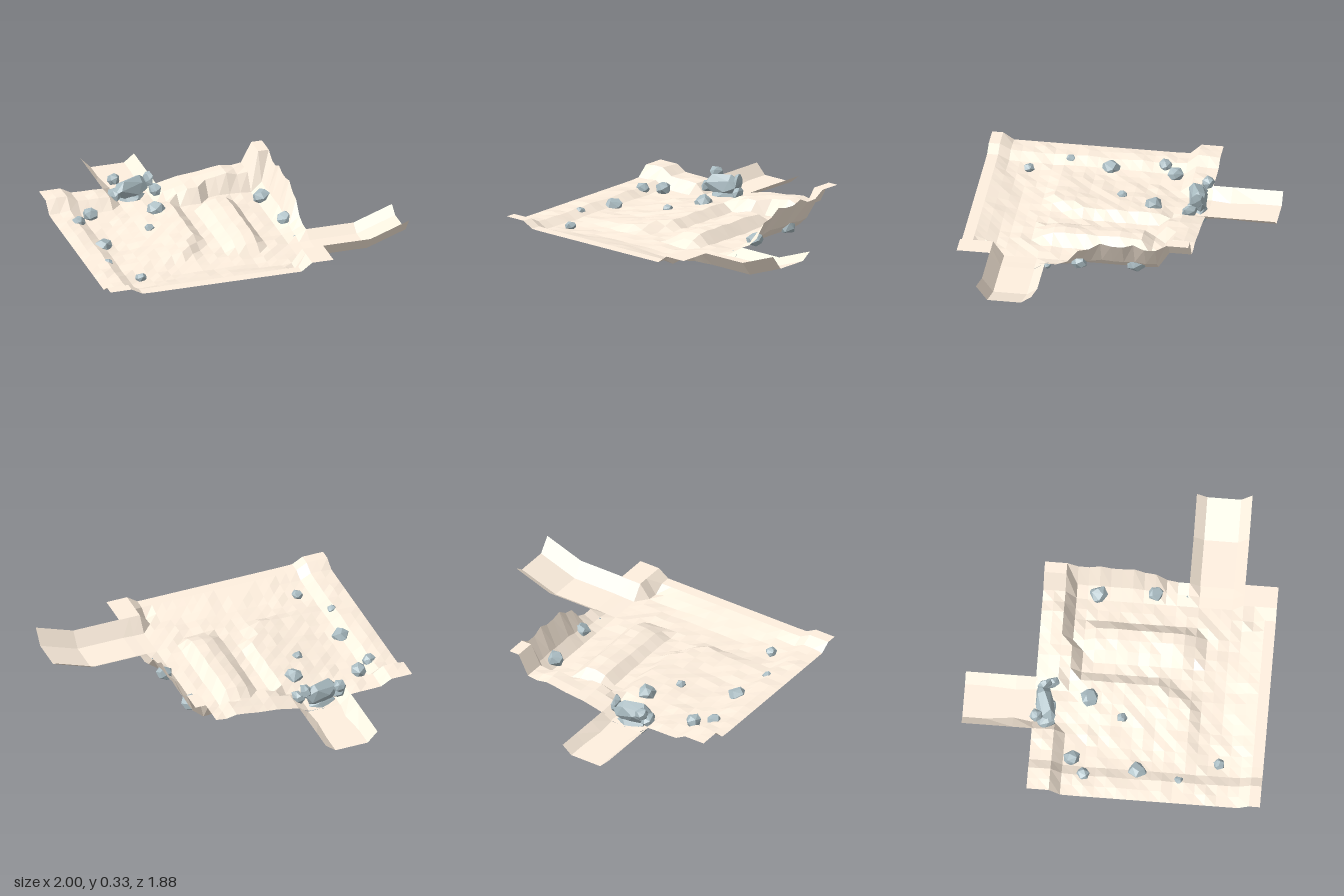
import * as THREE from 'three';
import { ConvexGeometry } from 'three/addons/geometries/ConvexGeometry.js';

const sand = new THREE.MeshStandardMaterial({ color: 0xfff0df, flatShading: true, side: THREE.DoubleSide });
const stone = new THREE.MeshStandardMaterial({ color: 0xaabcc2, flatShading: true });

// Small seeded random generator
function seeded(seed) {
  let s = seed * 7919 + 17;
  return () => (s = (s * 16807) % 2147483647) / 2147483647;
}

// Piecewise linear curve through [position, value] pairs
function along(t, pts) {
  if (t <= pts[0][0]) return pts[0][1];
  for (let i = 1; i < pts.length; i++) {
    const [a, va] = pts[i - 1], [b, vb] = pts[i];
    if (t <= b) return va + (vb - va) * (t - a) / (b - a);
  }
  return pts[pts.length - 1][1];
}

// Surface through equal-length rows of [x, y, z] points
function sheet(name, rows) {
  const n = rows[0].length, index = [];
  for (let r = 0; r < rows.length - 1; r++) {
    for (let c = 0; c < n - 1; c++) {
      const a = r * n + c, b = a + 1, d = a + n, e = d + 1;
      index.push(a, d, b, b, d, e);
    }
  }
  const g = new THREE.BufferGeometry();
  g.setAttribute('position', new THREE.Float32BufferAttribute(rows.flat(2), 3));
  g.setIndex(index);
  const flat = g.toNonIndexed();
  flat.computeVertexNormals();
  const mesh = new THREE.Mesh(flat, sand);
  mesh.name = name;
  return mesh;
}

// Rim heights above the floor
const rightRim = [[-0.37, 0.245], [-0.3, 0.2], [-0.23, 0.2], [-0.16, 0.235], [-0.09, 0.205], [-0.02, 0.21],
  [0.04, 0.225], [0.12, 0.17], [0.18, 0.16], [0.24, 0.08], [0.3, 0.05], [0.385, 0.05], [0.45, 0.005]];
const backRim = [[-1, 0.07], [-0.65, 0.07], [-0.59, 0.07], [-0.52, 0.005], [-0.31, 0.005], [-0.24, 0.055],
  [-0.1, 0.085], [0.02, 0.095], [0.16, 0.12], [0.24, 0.105], [0.31, 0.115]];

function height(x, z, rnd) {
  const left = along(x, [[-0.86, 0.04], [-0.79, 0]]);
  // Front bank, gentler towards its middle
  const toe = along(x, [[-0.79, 0.8], [-0.4, 0.68], [0, 0.7], [0.24, 0.8]]);
  const front = along(z, [[toe, 0], [0.86, 0.045]]);
  // Right bank: steep cliff at the back, low bank beyond the side channel
  const share = along(z, [[-0.37, 1], [-0.3, 0.3]]);
  const right = z > 0.7
    ? along(x, [[0.24, 0], [0.305, 0.095]])
    : along(x, [[0.31, 0], [0.376, share], [0.44, 1]]) * along(z, rightRim);
  // Back bank reaches further inward behind the stream bed
  const inner = along(x, [[-0.24, -0.3], [-0.17, -0.23], [-0.03, -0.23], [0.03, -0.3]]);
  const back = along(z, [[inner - 0.07, 1], [inner, 0]]) * along(x, backRim);
  // Low shelf that drops into the stream bed, its edge swinging left at the front
  const edge = along(z, [[0.25, 0], [0.45, -0.1]]);
  const shelf = along(x - edge, [[-0.72, 0], [-0.5, 0.02], [-0.24, 0.05], [-0.17, 0]])
    * along(z, [[-0.3, 0.4], [-0.2, 1], [0.44, 1], [0.52, 0]]);
  // Ridge on the other side of the stream bed
  const ridge = along(x, [[-0.11, 0], [-0.03, 0.05], [0.03, 0.065], [0.1, 0.065], [0.17, 0]])
    * along(z, [[-0.25, 0], [-0.17, 1], [0.38, 1], [0.52, 0]]);
  const inside = x > -0.95 && x < 0.3 && z > -0.48 && z < 0.84;
  const bump = inside ? rnd() * 0.012 : 0;
  return 0.081 + left + Math.max(front, right, back, shelf, ridge) + bump;
}

function ground() {
  const rnd = seeded(5), rows = [], n = 21, step = 1.445 / n;
  for (let j = 0; j <= n; j++) {
    const row = [];
    for (let i = 0; i <= n; i++) {
      const x = -1 + i * step, z = -0.51 + j * step;
      row.push([x, height(x, z, rnd), z]);
    }
    rows.push(row);
  }
  return sheet('ground', rows);
}

// Angular boulder: hull of points scattered over a stretched ball
function boulder(seed, [x, y, z], [rx, ry, rz], tilt = 0) {
  const rnd = seeded(seed), pts = [], count = 16;
  for (let i = 0; i < count; i++) {
    const h = 1 - 2 * (i + 0.5) / count, a = i * 2.4 + rnd() * 0.6;
    const r = Math.sqrt(1 - h * h), k = 0.9 + rnd() * 0.18;
    pts.push(new THREE.Vector3(Math.cos(a) * r * k * rx, h * k * ry, Math.sin(a) * r * k * rz));
  }
  const mesh = new THREE.Mesh(new ConvexGeometry(pts), stone);
  mesh.name = 'boulder';
  mesh.position.set(x, y, z);
  mesh.rotation.y = tilt;
  return mesh;
}

export function createModel() {
  const model = new THREE.Group();
  model.add(ground());

  // Side channel: trough running out to the left and rising at its end
  const sideSection = [[0.385, 0.132], [0.45, 0.086], [0.66, 0.086], [0.73, 0.178]];
  const sidePath = [[0.445, 0], [0.75, 0], [1, 0.09]];
  model.add(sheet('sideChannel', sideSection.map(([z, y]) => sidePath.map(([x, lift]) => [x, y + lift, z]))));

  // Back channel: level trough with slightly pinched banks
  const backPath = [[-0.945, 0], [-0.8, 0], [-0.63, 0.02], [-0.5, 0]];
  model.add(sheet('backChannel', backPath.map(([z, pinch]) => [
    [-0.59, 0.153, z], [-0.525 + pinch, 0.086, z], [-0.31 - pinch / 2, 0.086, z], [-0.245, 0.138, z],
  ])));

  // Single boulders: x, y, z, radius
  const scattered = new THREE.Group();
  scattered.name = 'scatteredBoulders';
  [[-0.85, 0.115, -0.17, 0.046], [-0.75, 0.115, -0.25, 0.054], [-0.35, 0.13, -0.17, 0.058],
    [-0.46, 0.115, 0.04, 0.034], [-0.8, 0.095, 0.16, 0.062], [-0.85, 0.11, 0.42, 0.033],
    [-0.715, 0.1, 0.66, 0.036], [0.335, 0.118, -0.17, 0.06], [0.37, 0.12, 0.18, 0.055],
    [0.375, 0.078, 0.38, 0.025],
  ].forEach(([x, y, z, r], i) => scattered.add(boulder(i + 2, [x, y, z], [r, r * 0.85, r], i)));
  model.add(scattered);

  // Boulder pile blocking the back channel
  const pile = new THREE.Group();
  pile.name = 'boulderPile';
  pile.add(
    boulder(21, [-0.42, 0.165, -0.44], [0.14, 0.075, 0.062], 0.25),
    boulder(22, [-0.42, 0.07, -0.44], [0.11, 0.074, 0.075], 0.1),
    boulder(23, [-0.525, 0.215, -0.49], [0.042, 0.04, 0.045]),
    boulder(24, [-0.535, 0.14, -0.425], [0.045, 0.045, 0.058]),
    boulder(25, [-0.315, 0.205, -0.45], [0.027, 0.055, 0.05], 0.4),
    boulder(26, [-0.28, 0.145, -0.41], [0.032, 0.045, 0.06], 0.4),
  );
  model.add(pile);
  return model;
}
